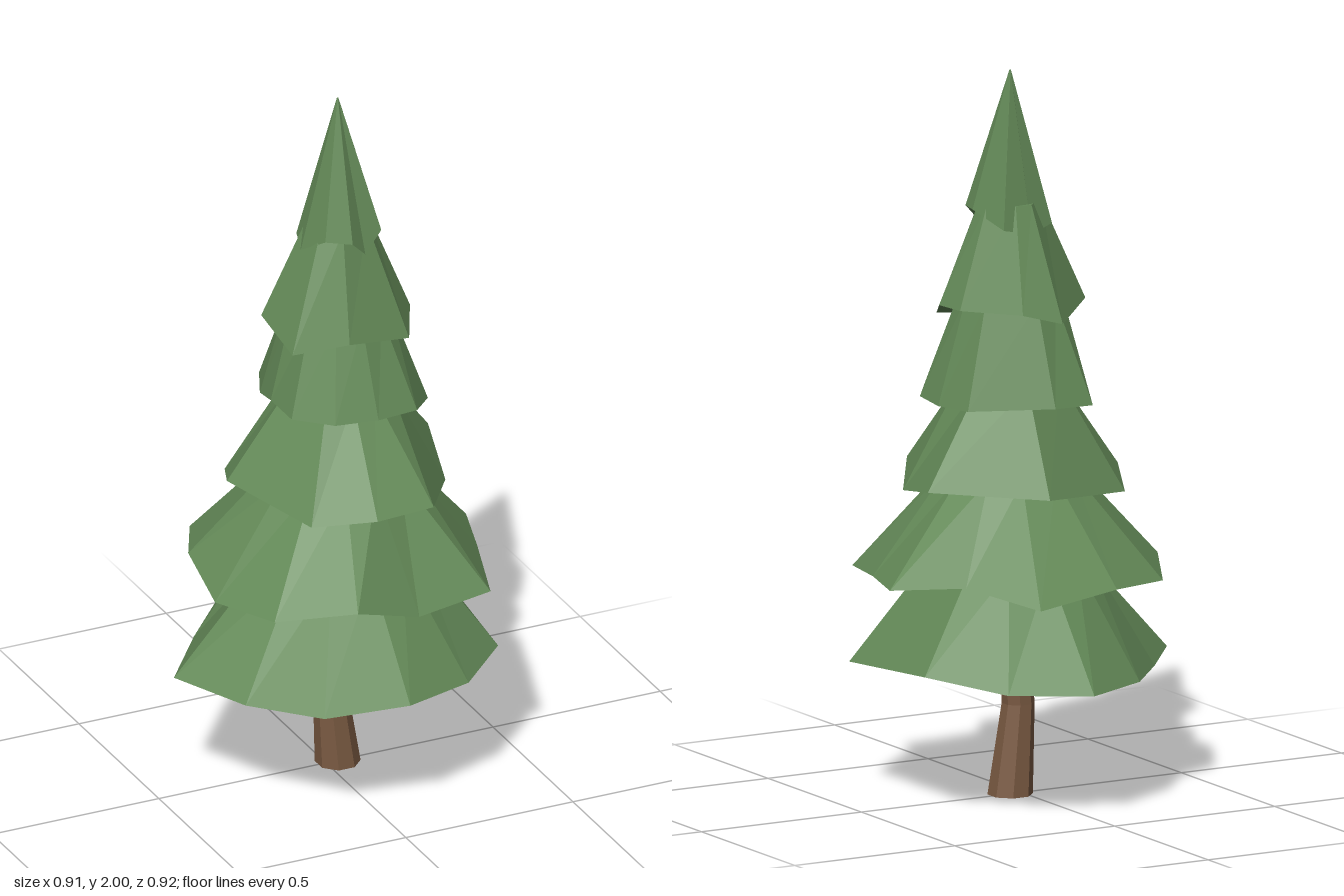
import * as THREE from 'three';

const green = new THREE.MeshStandardMaterial({ color: 0x648a58 });
green.name = 'needle green';
const brown = new THREE.MeshStandardMaterial({ color: 0x7a5a42 });
brown.name = 'bark brown';

// Unindexed triangles give flat facets
function facetMesh(name, triangles, material) {
  const geometry = new THREE.BufferGeometry().setFromPoints(triangles);
  geometry.computeVertexNormals();
  const mesh = new THREE.Mesh(geometry, material);
  mesh.name = name;
  return mesh;
}

// A skirt of branches: jagged rim [x, y, z] rising to a small ring, with a closed underside
function branchTier(name, rim, underY, topY, topRadius) {
  const under = new THREE.Vector3(0.035, underY, 0);
  const top = new THREE.Vector3(0.035, topY, 0);
  const low = rim.map((p) => new THREE.Vector3(...p));
  const high = low.map((p) => p.clone().sub(top).setY(0).setLength(Math.max(topRadius, 0.002)).add(top));
  const triangles = [];
  low.forEach((a, i) => {
    const j = (i + 1) % low.length;
    triangles.push(low[j], a, high[i], low[j], high[i], high[j]);
    triangles.push(high[j], high[i], top, under, a, low[j]);
  });
  return facetMesh(name, triangles, green);
}

// Slightly bent trunk from stacked rings [centre x, y, radius]
function trunk() {
  const sides = 8;
  const rings = [[0.035, 0, 0.062], [0.01, 0.25, 0.045], [0.022, 0.4, 0.041]].map(([x, y, r]) =>
    Array.from({ length: sides }, (_, i) => {
      const a = ((i + 0.5) / sides) * Math.PI * 2;
      return new THREE.Vector3(x + r * Math.cos(a), y, r * Math.sin(a));
    }));
  const base = new THREE.Vector3(0.035, 0, 0);
  const triangles = [];
  for (let i = 0; i < sides; i++) {
    const j = (i + 1) % sides;
    for (let k = 0; k < rings.length - 1; k++) {
      const [a, b] = [rings[k], rings[k + 1]];
      triangles.push(a[j], a[i], b[i], a[j], b[i], b[j]);
    }
    triangles.push(base, rings[0][i], rings[0][j]);
  }
  return facetMesh('trunk', triangles, brown);
}

export function createModel() {
  const tree = new THREE.Group();
  tree.name = 'pineTree';
  tree.add(trunk());

  tree.add(branchTier('bottomBranches', [
    [0.04, 0.355, -0.46], [0.25, 0.36, -0.36], [0.43, 0.405, -0.22], [0.41, 0.365, 0.22],
    [0.25, 0.355, 0.37], [0.035, 0.37, 0.455], [-0.2, 0.36, 0.41], [-0.35, 0.352, 0.23],
    [-0.455, 0.355, 0], [-0.3, 0.355, -0.2], [-0.16, 0.355, -0.36],
  ], 0.352, 0.66, 0.21));

  tree.add(branchTier('secondBranches', [
    [-0.06, 0.63, -0.41], [0.19, 0.6, -0.43], [0.31, 0.64, -0.235], [0.455, 0.62, -0.075],
    [0.4, 0.62, 0.11], [0.33, 0.6, 0.34], [0.1, 0.588, 0.375], [-0.1, 0.655, 0.41],
    [-0.29, 0.615, 0.285], [-0.37, 0.6, 0.08], [-0.35, 0.65, -0.13], [-0.25, 0.62, -0.33],
  ], 0.61, 0.9, 0.18));

  tree.add(branchTier('thirdBranches', [
    [0.085, 0.87, -0.3], [0.365, 0.89, -0.125], [0.3, 0.845, 0.12], [0.165, 0.885, 0.33],
    [-0.01, 0.885, 0.345], [-0.165, 0.86, 0.255], [-0.275, 0.89, -0.045], [-0.21, 0.845, -0.195],
  ], 0.845, 1.15, 0.135));

  tree.add(branchTier('fourthBranches', [
    [0.03, 1.105, -0.235], [0.24, 1.1, -0.125], [0.26, 1.095, 0], [0.25, 1.1, 0.115],
    [0.17, 1.125, 0.215], [0.045, 1.13, 0.235], [-0.075, 1.13, 0.215], [-0.16, 1.125, 0.12],
    [-0.165, 1.13, 0], [-0.15, 1.105, -0.1], [-0.095, 1.1, -0.22],
  ], 1.1, 1.38, 0.14));

  tree.add(branchTier('fifthBranches', [
    [-0.01, 1.33, -0.205], [0.1, 1.36, -0.18], [0.215, 1.36, -0.04], [0.225, 1.36, 0.055],
    [0.175, 1.315, 0.155], [-0.015, 1.345, 0.18], [-0.16, 1.32, 0.125], [-0.165, 1.36, -0.06],
  ], 1.33, 1.64, 0.085));

  // Pointed crown
  tree.add(branchTier('treeTop', [
    [0.02, 1.56, -0.09], [0.11, 1.58, -0.095], [0.138, 1.62, 0.025], [0.125, 1.62, 0.085],
    [0.07, 1.565, 0.1], [0.025, 1.61, 0.115], [-0.04, 1.615, 0.08], [-0.075, 1.565, 0],
    [-0.055, 1.58, -0.07],
  ], 1.6, 2, 0.002));

  return tree;
}
